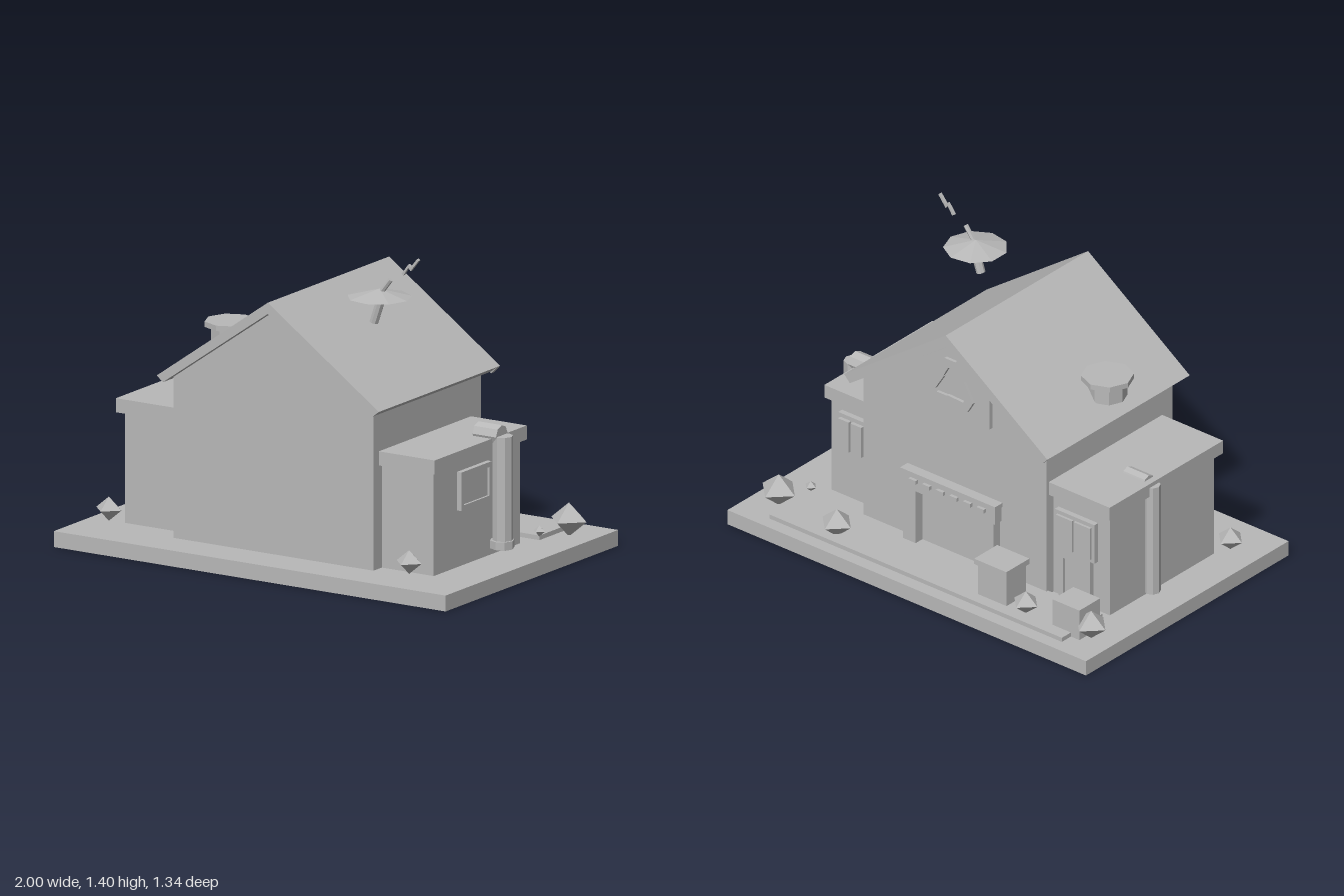
import * as THREE from 'three';

export function createModel() {
  const model = new THREE.Group();
  const grey = new THREE.MeshStandardMaterial({ color: 0xb8b8b8, flatShading: true });
  grey.name = 'plain grey';

  const add = (name, geo, x = 0, y = 0, z = 0) => {
    const mesh = new THREE.Mesh(geo, grey);
    mesh.name = name;
    mesh.position.set(x, y, z);
    model.add(mesh);
    return mesh;
  };
  // box given by its limits on each axis
  const box = (name, x0, x1, y0, y1, z0, z1) =>
    add(name, new THREE.BoxGeometry(x1 - x0, y1 - y0, z1 - z0), (x0 + x1) / 2, (y0 + y1) / 2, (z0 + z1) / 2);
  // outline in x and y, extruded between two z limits
  const prism = (name, pts, z0, z1) => {
    const shape = new THREE.Shape(pts.map(p => new THREE.Vector2(p[0], p[1])));
    return add(name, new THREE.ExtrudeGeometry(shape, { depth: z1 - z0, bevelEnabled: false }), 0, 0, z0);
  };
  // straight rod between two points
  const rod = (name, a, b, r, sides = 6) => {
    const p = new THREE.Vector3(...a), q = new THREE.Vector3(...b);
    const mesh = add(name, new THREE.CylinderGeometry(r, r, p.distanceTo(q), sides));
    mesh.position.copy(p).lerp(q, 0.5);
    mesh.quaternion.setFromUnitVectors(new THREE.Vector3(0, 1, 0), q.sub(p).normalize());
    return mesh;
  };

  // Ground slab and raised walkway
  box('groundSlab', -1, 1, 0, 0.07, -0.67, 0.67);
  box('walkway', -0.815, 0.815, 0.07, 0.09, -0.61, -0.34);

  // Main house with pitched roof
  prism('houseWalls', [[-0.51, 0.07], [0.51, 0.07], [0.51, 0.78], [0, 1.14], [-0.51, 0.78]], -0.35, 0.485);
  const gableRoof = drop => [[0, 1.188], [-0.567, 0.787], [-0.535, 0.762 - drop],
    [0, 1.138 - drop], [0.535, 0.762 - drop], [0.567, 0.787]];
  prism('roof', gableRoof(0), -0.39, 0.53);
  prism('roofTrim', gableRoof(0.008), -0.412, -0.39);

  // Side wings
  box('leftWingWalls', -0.825, -0.51, 0.07, 0.57, -0.305, 0.385);
  box('leftWingRoof', -0.85, -0.505, 0.56, 0.622, -0.335, 0.415);
  box('rightWingWalls', 0.51, 0.775, 0.07, 0.53, -0.25, 0.42);
  box('rightWingRoof', 0.505, 0.795, 0.525, 0.587, -0.272, 0.443);

  // Gable panel with three bent strips
  prism('gablePanel', [[-0.21, 0.785], [0.21, 0.785], [0.21, 0.975], [0, 1.12], [-0.21, 0.975]], -0.37, -0.34);
  for (let i = 0; i < 3; i++) {
    const strip = prism('bentStrip', [[-0.085, 0.03], [-0.03, 0.13], [0.03, 0.13], [0.08, 0.045],
      [0.045, 0.025], [0.008, 0.09], [-0.008, 0.09], [-0.05, 0.01]], -0.385, -0.37);
    strip.position.y = 0.925;
    strip.rotation.z = i * Math.PI * 2 / 3;
  }

  // Large doorway with a toothed lintel
  for (const s of [-1, 1]) {
    const x = s * 0.217;
    box('doorwayPost', x - 0.035, x + 0.035, 0.07, 0.36, -0.395, -0.34);
  }
  box('doorwayLintel', -0.26, 0.26, 0.345, 0.42, -0.395, -0.34);
  box('doorwayCap', -0.265, 0.265, 0.415, 0.435, -0.4, -0.34);
  for (let i = 0; i < 6; i++) {
    const x = -0.19 + i * 0.076;
    box('lintelTooth', x - 0.02, x + 0.02, 0.388, 0.406, -0.41, -0.39);
  }

  // Back window of the right wing
  box('backWindowFrame', 0.56, 0.715, 0.303, 0.485, -0.275, -0.245);
  for (const x of [0.573, 0.643]) box('backWindowPane', x, x + 0.06, 0.318, 0.466, -0.292, -0.27);

  // Side window of the right wing
  const hole = new THREE.Path([[-0.098, -0.063], [-0.098, 0.063], [0.098, 0.063], [0.098, -0.063]]
    .map(p => new THREE.Vector2(p[0], p[1])));
  const frame = new THREE.Shape([[-0.117, -0.085], [0.117, -0.085], [0.117, 0.085], [-0.117, 0.085]]
    .map(p => new THREE.Vector2(p[0], p[1])));
  frame.holes.push(hole);
  add('sideWindowFrame', new THREE.ExtrudeGeometry(frame, { depth: 0.03, bevelEnabled: false }),
    0.768, 0.405, 0.122).rotation.y = Math.PI / 2;
  box('sideWindowPane', 0.768, 0.788, 0.335, 0.475, 0.02, 0.225);

  // Door and window above it on the left wing
  box('upperWindowFrame', -0.76, -0.54, 0.31, 0.5, -0.33, -0.3);
  for (const x of [-0.745, -0.645]) box('upperWindowPane', x, x + 0.09, 0.328, 0.482, -0.342, -0.325);
  for (const x of [-0.735, -0.585]) box('doorPost', x, x + 0.025, 0.07, 0.31, -0.33, -0.3);
  box('doorHead', -0.735, -0.56, 0.275, 0.31, -0.33, -0.3);
  box('doorPanel', -0.71, -0.585, 0.07, 0.275, -0.315, -0.3);

  // Drain pipes with a short run over each wing roof
  const pipe = (x, xIn, r, y0, y1) => {
    add('drainPipe', new THREE.CylinderGeometry(r, r, y1 - y0, 8), x, (y0 + y1) / 2, -0.04);
    rod('roofPipe', [xIn, y1, -0.04], [Math.sign(x) * 0.82, y1, -0.04], r, 8);
  };
  pipe(0.825, 0.7, 0.045, 0.1, 0.597);
  pipe(-0.838, -0.7, 0.037, 0.08, 0.603);
  add('pipeFoot', new THREE.CylinderGeometry(0.053, 0.053, 0.035, 8), 0.825, 0.122, -0.035);

  // Roof vent
  add('ventBody', new THREE.CylinderGeometry(0.085, 0.085, 0.085, 8), -0.475, 0.888, 0.095);
  add('ventLid', new THREE.CylinderGeometry(0.114, 0.114, 0.024, 8), -0.475, 0.938, 0.095);

  // Dish on its mast, with a zigzag spark
  rod('dishMast', [0.345, 1.087, 0.23], [0.387, 1.21, 0.23], 0.02, 8);
  const cone = new THREE.ConeGeometry(0.14, 0.036, 9);
  cone.rotateY(Math.PI / 2);
  add('dish', cone, 0.372, 1.22, 0.228);
  rod('dishAntenna', [0.388, 1.23, 0.232], [0.432, 1.287, 0.232], 0.011);
  prism('spark', [[0.488, 1.32], [0.498, 1.315], [0.522, 1.352], [0.534, 1.338], [0.575, 1.39], [0.567, 1.396],
    [0.536, 1.358], [0.522, 1.366]], 0.22, 0.234);

  // Crates
  box('tallCrate', -0.46, -0.3, 0.07, 0.245, -0.555, -0.425);
  box('tallCrateLid', -0.47, -0.29, 0.24, 0.266, -0.568, -0.415);
  box('lowCrate', -0.862, -0.712, 0.07, 0.215, -0.55, -0.412);

  // Faceted bushes: x, z, radius
  const bushes = [[-0.89, -0.505, 0.08], [-0.555, -0.54, 0.064], [0.5, -0.54, 0.079], [0.87, -0.485, 0.09],
    [-0.87, 0.44, 0.064], [0.7, 0.497, 0.063], [-0.76, -0.375, 0.032], [0.815, -0.338, 0.029]];
  for (const [x, z, r] of bushes) {
    const y = r < 0.04 ? 0.111 : 0.138;
    add('bush', new THREE.OctahedronGeometry(r), x, y, z).scale.y = 0.83;
  }
  return model;
}
